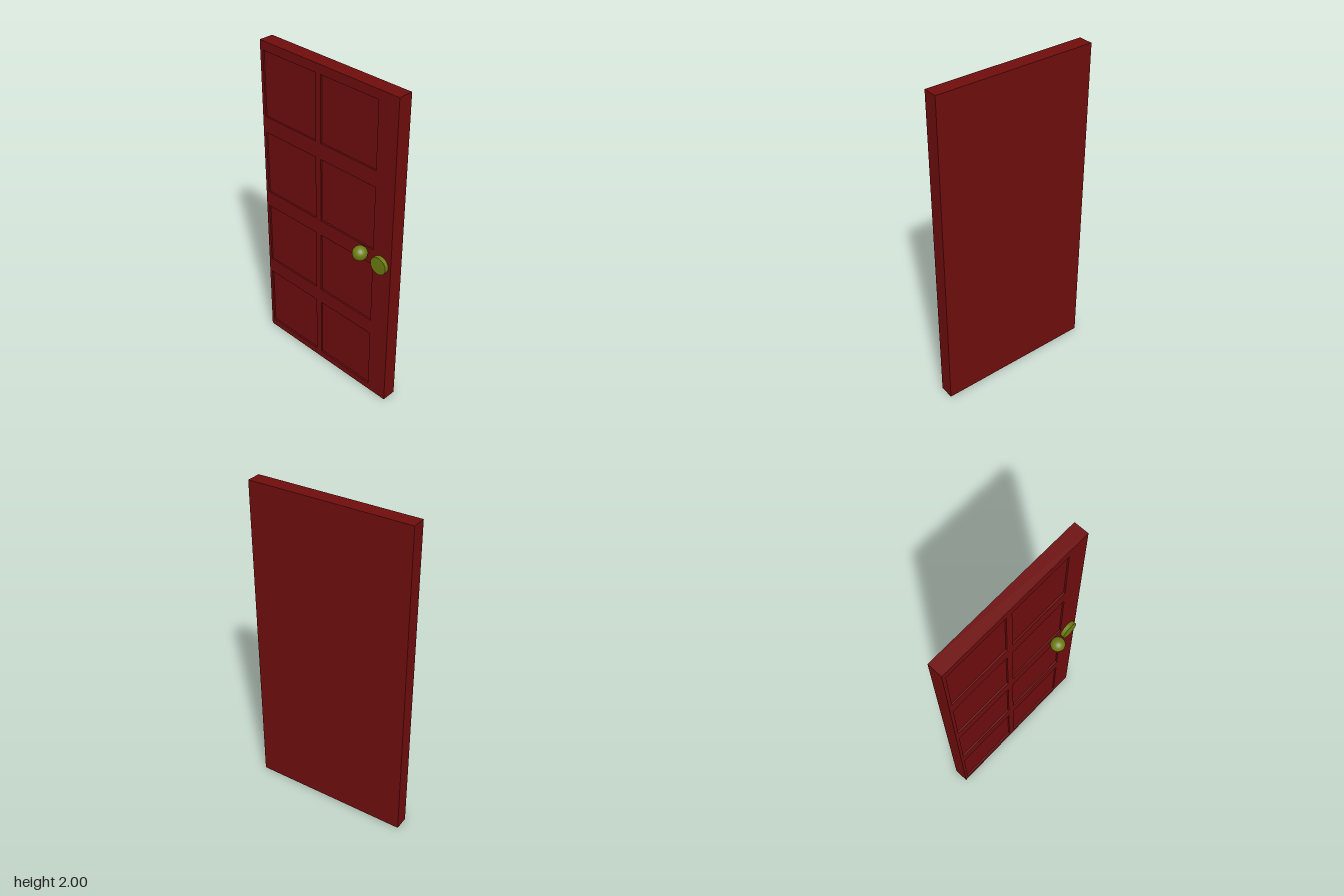
import * as THREE from 'three';

const HALF = 0.496, HEIGHT = 2;
const FACE = -0.005, BACK = 0.084, RECESS = 0.01;

function rect(target, x, y, w, h) {
  target.moveTo(x, y);
  target.lineTo(x + w, y);
  target.lineTo(x + w, y + h);
  target.lineTo(x, y + h);
  target.closePath();
  return target;
}

export function createModel() {
  const door = new THREE.Group();
  door.name = 'door';
  const red = new THREE.MeshStandardMaterial({ color: 0x6f0d0d });
  red.name = 'dark red paint';
  const brass = new THREE.MeshStandardMaterial({ color: 0x6e7d12 });
  brass.name = 'olive brass';

  const add = (name, geometry, material, x, y, z) => {
    const mesh = new THREE.Mesh(geometry, material);
    mesh.name = name;
    mesh.position.set(x, y, z);
    door.add(mesh);
  };

  // Solid slab, whose face is the floor of the recessed panels
  const inner = FACE + RECESS;
  add('slab', new THREE.BoxGeometry(BACK - inner, HEIGHT, HALF * 2), red,
    (BACK + inner) / 2, HEIGHT / 2, 0);

  // Frame with two columns and four rows of panel openings
  const frame = rect(new THREE.Shape(), -HALF, 0, HALF * 2, HEIGHT);
  for (const z of [-0.475, -0.035]) {
    for (let row = 0; row < 4; row++) {
      frame.holes.push(rect(new THREE.Path(), z, 0.045 + row * 0.5, 0.4, 0.4));
    }
  }
  const frameGeometry = new THREE.ExtrudeGeometry(frame, { depth: RECESS, bevelEnabled: false });
  frameGeometry.rotateY(-Math.PI / 2);
  add('panelFrame', frameGeometry, red, inner, 0, 0);

  // Knob and round lock plate on the panelled face
  add('knob', new THREE.SphereGeometry(0.044, 32, 16), brass, -0.042, 1.012, 0.303);
  const plate = new THREE.CylinderGeometry(0.054, 0.054, 0.03, 32);
  plate.rotateZ(Math.PI / 2);
  add('lockPlate', plate, brass, -0.014, 0.98, 0.424);

  return door;
}
